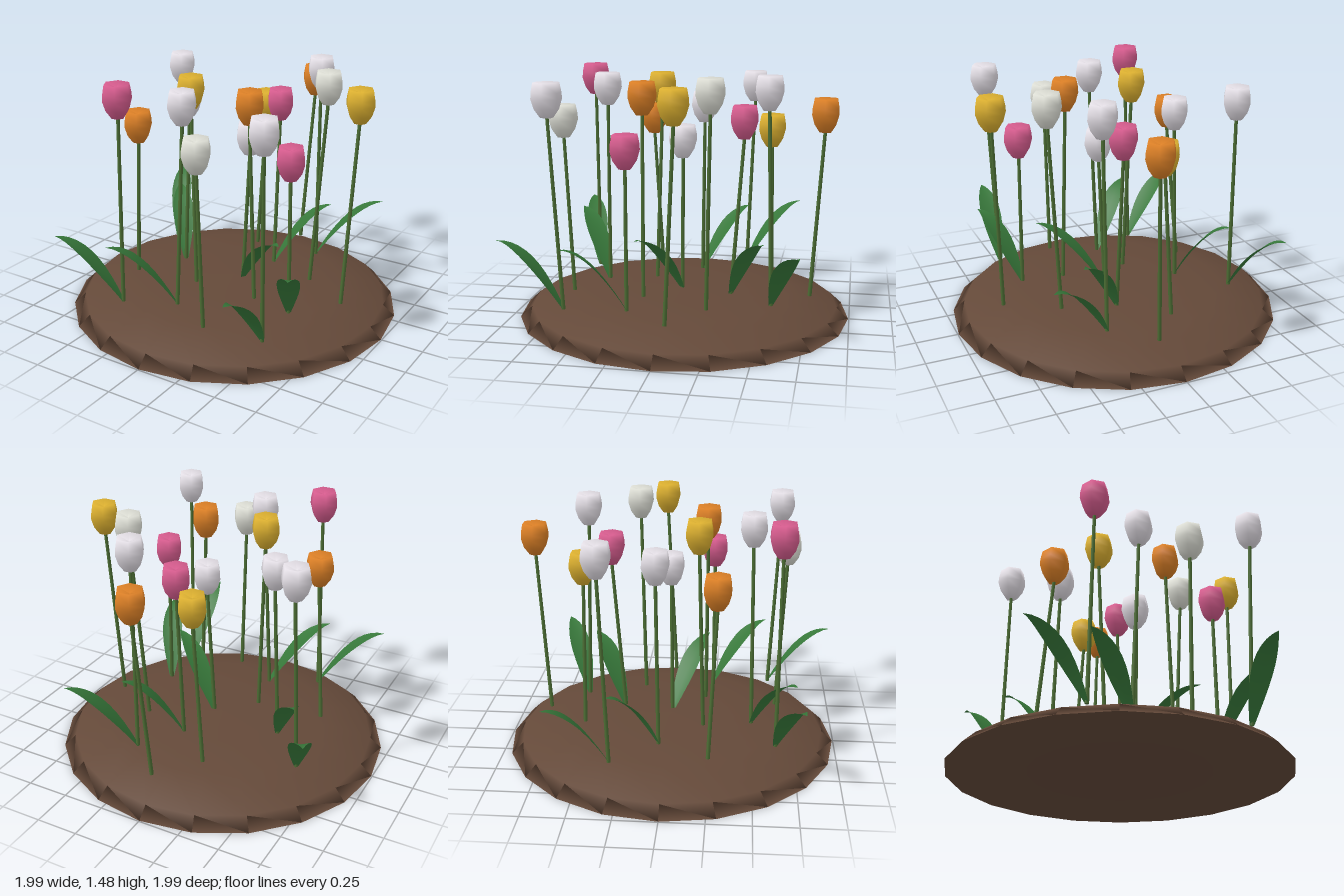
import * as THREE from 'three';

const mat = (color, opts = {}) => new THREE.MeshStandardMaterial({ color, ...opts });
const V2 = (x, y) => new THREE.Vector2(x, y);

// Each tulip: colour, head x, head z, top height, stem base x, base z, optional leaf tip x, z
const TULIPS = [
  ['orange', 0.10, -0.83, 1.33, 0.055, -0.765],
  ['yellow', -0.085, -0.515, 1.21, -0.14, -0.52],
  ['white', 0.29, -0.53, 1.47, 0.28, -0.555, 0.655, -0.735],
  ['pink', 0.10, -0.37, 1.28, 0.11, -0.30, 0.40, -0.52],
  ['cream', 0.49, -0.23, 1.47, 0.42, -0.20],
  ['yellow', 0.76, -0.08, 1.44, 0.72, -0.02],
  ['white', -0.615, -0.355, 1.42, -0.64, -0.31, -0.815, -0.65],
  ['white', -0.365, -0.065, 1.31, -0.40, -0.05, -0.63, -0.33],
  ['white', 0.10, -0.01, 1.16, 0.06, 0.0, 0.43, 0.215],
  ['yellow', -0.19, 0.17, 1.44, -0.15, 0.20],
  ['orange', -0.49, 0.285, 1.215, -0.56, 0.245],
  ['orange', 0.225, 0.205, 1.42, 0.26, 0.20],
  ['pink', 0.51, 0.24, 1.157, 0.515, 0.24, 0.69, 0.58],
  ['white', -0.04, 0.475, 1.445, -0.09, 0.49, -0.40, 0.745],
  ['pink', -0.355, 0.635, 1.475, -0.38, 0.63, -0.76, 0.775],
  ['cream', 0.19, 0.685, 1.275, 0.19, 0.64],
  ['white', 0.58, 0.655, 1.44, 0.55, 0.60, 0.545, 0.99],
];

const PETALS = {
  orange: 0xdc8026, yellow: 0xdcb030, white: 0xe4dfe6, pink: 0xd65c8e, cream: 0xdedfd6,
};

const ROOT_Y = 0.15;
const HEAD_HEIGHT = 0.195;

// Rounded six-sided cup with a dimpled top, origin at its base
function headGeometry() {
  const profile = [V2(0, 0), V2(0.037, 0.003), V2(0.07, 0.05), V2(0.087, 0.105),
    V2(0.085, 0.14), V2(0.074, HEAD_HEIGHT), V2(0, 0.17)];
  return new THREE.LatheGeometry(profile, 6, Math.PI / 2);
}

// Straight tapered stem between two points
function makeStem(from, to, material) {
  const dir = to.clone().sub(from);
  const stem = new THREE.Mesh(new THREE.CylinderGeometry(0.010, 0.012, dir.length(), 6), material);
  stem.position.copy(from).addScaledVector(dir, 0.5);
  stem.quaternion.setFromUnitVectors(new THREE.Vector3(0, 1, 0), dir.normalize());
  stem.name = 'stem';
  return stem;
}

// Arching blade with a gently folded midrib, built from three-point cross-sections
function leafGeometry(bx, bz, tx, tz) {
  const rows = 10, pos = [], index = [];
  const len = Math.hypot(tx - bx, tz - bz);
  const sideX = -(tz - bz) / len, sideZ = (tx - bx) / len;
  for (let i = 0; i <= rows; i++) {
    const t = i / rows;
    const x = bx + (tx - bx) * t, z = bz + (tz - bz) * t;
    const y = ROOT_Y + 0.385 * (1 - Math.pow(1 - t, 1.7));
    const w = i < rows ? 0.065 * Math.sin(Math.PI * (0.07 + 0.93 * t)) : 0;
    for (const s of [-1, 0, 1]) {
      pos.push(x + sideX * w * s, y + Math.abs(s) * w * 0.2, z + sideZ * w * s);
    }
    if (i < rows) {
      for (const a of [i * 3, i * 3 + 1]) index.push(a, a + 1, a + 3, a + 1, a + 4, a + 3);
    }
  }
  const geo = new THREE.BufferGeometry();
  geo.setAttribute('position', new THREE.Float32BufferAttribute(pos, 3));
  geo.setIndex(index);
  geo.computeVertexNormals();
  return geo;
}

export function createModel() {
  const model = new THREE.Group();
  model.name = 'tulipBed';

  const stemMat = mat(0x4c6e34);
  const leafMat = mat(0x37783a, { side: THREE.DoubleSide });
  const petalMats = {};
  for (const key in PETALS) petalMats[key] = mat(PETALS[key]);

  // Shallow mound of soil with a flat underside and a soft rim
  const soilProfile = [V2(0, 0), V2(0.995, 0), V2(0.925, 0.065), V2(0.65, 0.14),
    V2(0.33, 0.155), V2(0, 0.165)];
  const soil = new THREE.Mesh(new THREE.LatheGeometry(soilProfile, 20), mat(0x644939));
  soil.name = 'soilMound';
  model.add(soil);

  const headGeo = headGeometry();
  for (const [color, x, z, top, bx, bz, tx, tz] of TULIPS) {
    const tulip = new THREE.Group();
    tulip.name = `${color}Tulip`;

    const head = new THREE.Mesh(headGeo, petalMats[color]);
    head.position.set(x, top - HEAD_HEIGHT, z);
    head.name = 'flowerHead';
    tulip.add(head);

    const root = new THREE.Vector3(bx, ROOT_Y, bz);
    const neck = new THREE.Vector3(x, top - HEAD_HEIGHT + 0.01, z);
    tulip.add(makeStem(root, neck, stemMat));

    if (tx !== undefined) {
      const leaf = new THREE.Mesh(leafGeometry(bx, bz, tx, tz), leafMat);
      leaf.name = 'leaf';
      tulip.add(leaf);
    }
    model.add(tulip);
  }
  return model;
}
